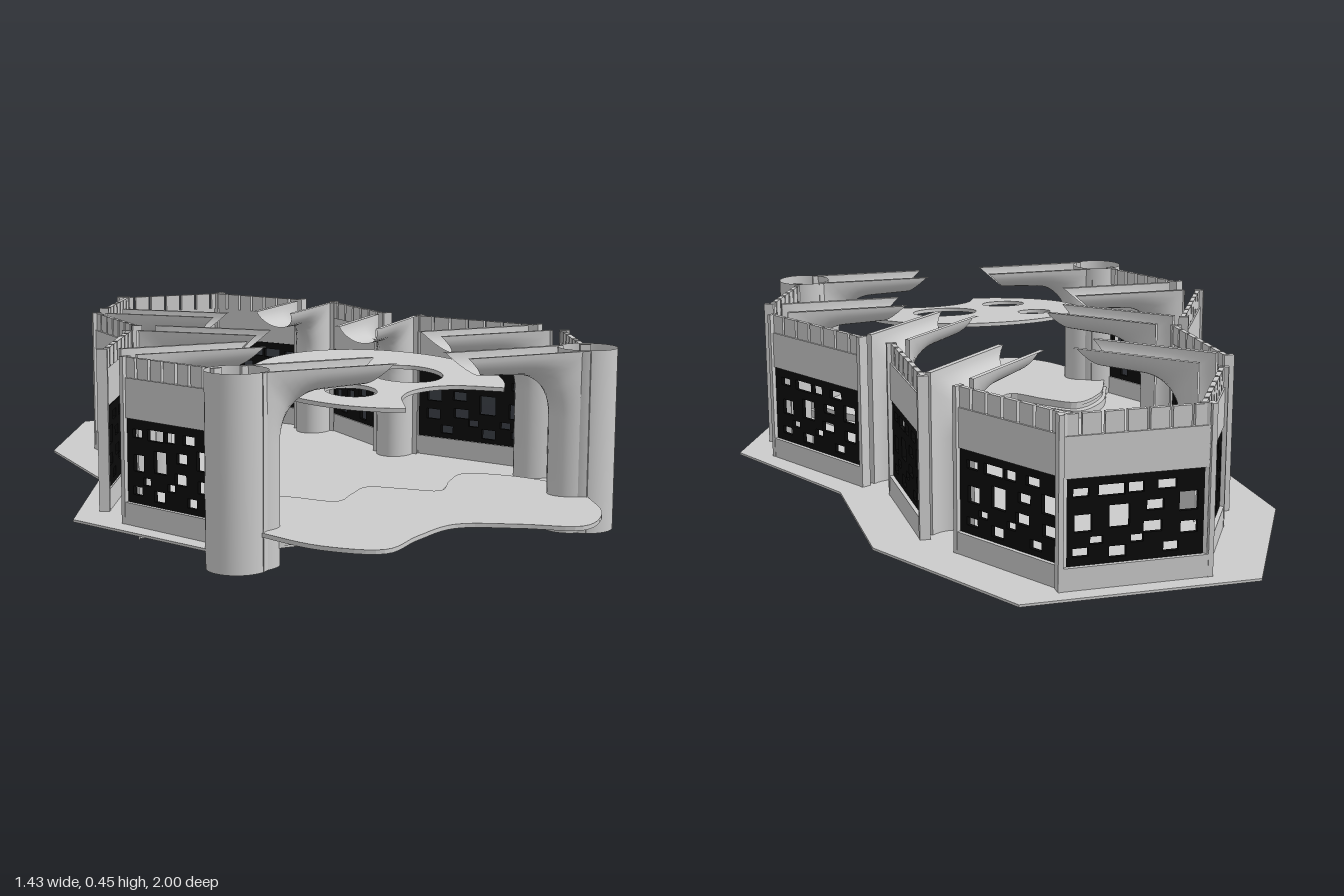
import * as THREE from 'three';
import { toCreasedNormals } from 'three/addons/utils/BufferGeometryUtils.js';

const grey = new THREE.MeshStandardMaterial({ color: 0xcccccc, side: THREE.DoubleSide });
const black = new THREE.MeshStandardMaterial({ color: 0x0a0a0a, side: THREE.DoubleSide });

function add(parent, name, geometry, material = grey) {
  const mesh = new THREE.Mesh(geometry, material);
  mesh.name = name;
  parent.add(mesh);
  return mesh;
}

// Flat horizontal plate from plan points [x, z]
function plate(points, y, height, holes = []) {
  const shape = new THREE.Shape(points.map(([x, z]) => new THREE.Vector2(x, -z)));
  for (const [x, z, r] of holes) shape.holes.push(new THREE.Path().absarc(x, -z, r, 0, Math.PI * 2, true));
  const g = new THREE.ExtrudeGeometry(shape, { depth: height, bevelEnabled: false, curveSegments: 24 });
  return g.rotateX(-Math.PI / 2).translate(0, y, 0);
}

const mirror = (half) => [...half, ...half.filter(([x]) => x > 0).reverse().map(([x, z]) => [-x, z])];

function smooth(points, n) {
  const curve = new THREE.CatmullRomCurve3(points.map(([x, z]) => new THREE.Vector3(x, 0, z)));
  return curve.getPoints(n).map((p) => [p.x, p.z]);
}

// Wavy outline of the stage, back edge first, then the front edge
function stageOutline(offset, front) {
  const back = [[0.47, 0.63], [0.4, 0.47], [0.3, 0.385], [0.22, 0.45], [0.14, 0.54], [0.07, 0.48], [0, 0.425]];
  const backAll = [...back, ...back.slice(0, -1).reverse().map(([x, z]) => [-x, z])];
  return [...smooth(backAll, 60).map(([x, z]) => [x, z - offset]), ...smooth(front, 60)];
}

// Screen openings: left, top, width, height as fractions of the screen
const openings = [
  [0.24, 0.1, 0.12, 0.11], [0.45, 0.1, 0.1, 0.12], [0.57, 0.1, 0.17, 0.13], [0.8, 0.12, 0.1, 0.1],
  [0.1, 0.26, 0.12, 0.22], [0.32, 0.32, 0.11, 0.12], [0.54, 0.34, 0.13, 0.26], [0.78, 0.42, 0.11, 0.2],
  [0.33, 0.56, 0.12, 0.13], [0.1, 0.6, 0.11, 0.14], [0.45, 0.7, 0.08, 0.09], [0.71, 0.68, 0.08, 0.09],
  [0.22, 0.82, 0.1, 0.11], [0.56, 0.81, 0.11, 0.13], [0.8, 0.8, 0.1, 0.1],
];

// Wall bay from a to b; its local +z faces the inside
function wall(parent, a, b) {
  const dx = b[0] - a[0], dz = b[1] - a[1], L = Math.hypot(dx, dz);
  const g = new THREE.Group();
  g.name = 'wallBay';
  g.position.set((a[0] + b[0]) / 2, 0, (a[1] + b[1]) / 2);
  g.rotation.y = -Math.atan2(dz, dx);
  parent.add(g);
  const box = (name, w, h, d, x, y, z) => add(g, name, new THREE.BoxGeometry(w, h, d).translate(x, y, z));

  box('bottomRail', L, 0.055, 0.024, 0, 0.0725, 0);
  box('upperPanel', L, 0.095, 0.012, 0, 0.3475, 0);
  for (const s of [-1, 1]) box('endPost', 0.012, 0.4, 0.026, s * (L / 2 - 0.006), 0.245, 0);
  const n = 7, step = L / n;
  for (let i = 0; i < n; i++) {
    box('battlement', step - 0.008, 0.048, 0.012, (i + 0.5 - n / 2) * step, 0.419, 0.004);
  }

  const rect = (Type, x, y, w, h) => new Type([[x, y], [x + w, y], [x + w, y + h], [x, y + h]]
    .map((p) => new THREE.Vector2(...p)));
  const shape = rect(THREE.Shape, -L / 2 + 0.01, 0.1, L - 0.02, 0.2);
  for (const [u, v, w, h] of openings) {
    shape.holes.push(rect(THREE.Path, (u - 0.5) * L, 0.3 - (v + h) * 0.2, w * L, h * 0.2));
  }
  add(g, 'piercedScreen', new THREE.ExtrudeGeometry(shape, { depth: 0.01, bevelEnabled: false })
    .translate(0, 0, -0.002), black);
}

// Half-pipe column bending over into a cantilevered arm (local +x points inwards)
function gutterGeometry() {
  const rows = [[[0.1, 0], [0.035, 0]], [[0.1, 0.28], [0.035, 0.28]]]; // [bottom, rim]
  const N = 10;
  for (let k = 1; k <= N; k++) {
    const t = k / N, a = t * Math.PI / 2;
    const rim = t <= 0.5 ? [0.035, 0.28 + 0.33 * t] : [0.035 + (t - 0.5) * 0.33, 0.445];
    rows.push([[0.2 - 0.1 * Math.cos(a), 0.28 + 0.11 * Math.sin(a)], rim]);
  }
  rows.push([[0.31, 0.395], [0.365, 0.445]]);
  const section = [[-0.066, 0]];
  for (let i = 0; i <= 14; i++) {
    const a = (i / 14) * Math.PI;
    section.push([-0.052 * Math.cos(a), Math.sin(a)]);
  }
  section.push([0.066, 0]);
  const pos = [], index = [], m = section.length;
  rows.forEach(([b, r], i) => section.forEach(([z, d], j) => {
    pos.push(r[0] + (b[0] - r[0]) * d, r[1] + (b[1] - r[1]) * d, z);
    if (i && j) {
      const q = i * m + j;
      index.push(q - m - 1, q - m, q, q - m - 1, q, q - 1);
    }
  }));
  const g = new THREE.BufferGeometry();
  g.setAttribute('position', new THREE.Float32BufferAttribute(pos, 3));
  g.setIndex(index);
  return toCreasedNormals(g, 0.7);
}

export function createModel() {
  const model = new THREE.Group();
  model.name = 'pavilion';

  // Floor
  add(model, 'floor', plate([[-0.28, -1], [0.28, -1], [0.51, -0.57], [0.51, -0.14], [0.715, 0.285], [0.51, 0.72],
    [-0.51, 0.72], [-0.715, 0.285], [-0.51, -0.14], [-0.51, -0.57]], 0.041, 0.006));

  // Stage with a lower step behind it
  const front = [[-0.47, 0.63], [-0.43, 0.75], [-0.36, 0.91], [-0.25, 0.995], [-0.13, 0.92], [0, 0.86],
    [0.13, 0.92], [0.25, 0.995], [0.36, 0.91], [0.43, 0.75], [0.47, 0.63]];
  add(model, 'stage', plate(stageOutline(0, front), 0.08, 0.01));
  add(model, 'stageStep', plate(stageOutline(0.022, [[-0.47, 0.64], [-0.41, 0.71], [0, 0.715], [0.41, 0.71], [0.47, 0.64]]),
    0.047, 0.022));
  add(model, 'stageCore', plate(stageOutline(-0.004, [[-0.46, 0.645], [-0.4, 0.7], [0, 0.71], [0.4, 0.7], [0.46, 0.645]]),
    0.069, 0.011));

  // Walls: one across the back, four bays along each side
  wall(model, [-0.18, -0.945], [0.18, -0.945]);
  const bays = [
    [[0.155, -0.945], [0.325, -0.645]], [[0.38, -0.55], [0.38, -0.19]],
    [[0.435, -0.11], [0.62, 0.235]], [[0.61, 0.365], [0.485, 0.645]],
  ];
  for (const [a, b] of bays) {
    wall(model, a, b);
    wall(model, [-b[0], b[1]], [-a[0], a[1]]);
  }

  // Columns with arms; the front pair are closed by round towers
  const gutter = gutterGeometry();
  const columns = [[0.46, 0.69, -1, 0], [0.61, 0.3, -1, 0], [0.4, -0.155, -0.72, 0.69], [0.345, -0.585, -0.72, 0.69]];
  for (const s of [1, -1]) {
    columns.forEach(([x, z, dx, dz], i) => {
      const arm = add(model, 'columnArm', gutter);
      arm.position.set(s * x, 0, z);
      arm.rotation.y = -Math.atan2(dz, s * dx);
      if (i === 0) {
        const tower = add(model, 'frontTower', new THREE.CylinderGeometry(0.072, 0.072, 0.446, 40, 1, true));
        tower.position.set(s * x, 0.223, z);
      }
    });
  }

  // Tilted canopy disc with round holes and a bite out of its front edge
  const R = 0.31, bite = { x: 0.1, z: 0.3, r: 0.17 }, rim = [];
  for (let i = 0; i < 144; i++) {
    const a = (i / 144) * Math.PI * 2, c = Math.cos(a), s = Math.sin(a);
    const along = bite.x * c + bite.z * s;
    const q = along * along - (bite.x ** 2 + bite.z ** 2 - bite.r ** 2);
    const r = along > 0 && q > 0 ? Math.min(R, along - Math.sqrt(q)) : R;
    rim.push([c * r, s * r]);
  }
  const canopy = add(model, 'canopy', plate(rim, -0.005, 0.01,
    [[-0.155, -0.12, 0.047], [0.085, -0.01, 0.092], [-0.125, 0.11, 0.062]]));
  canopy.position.set(0, 0.367, 0.47);
  canopy.rotation.x = 0.09;

  return model;
}
